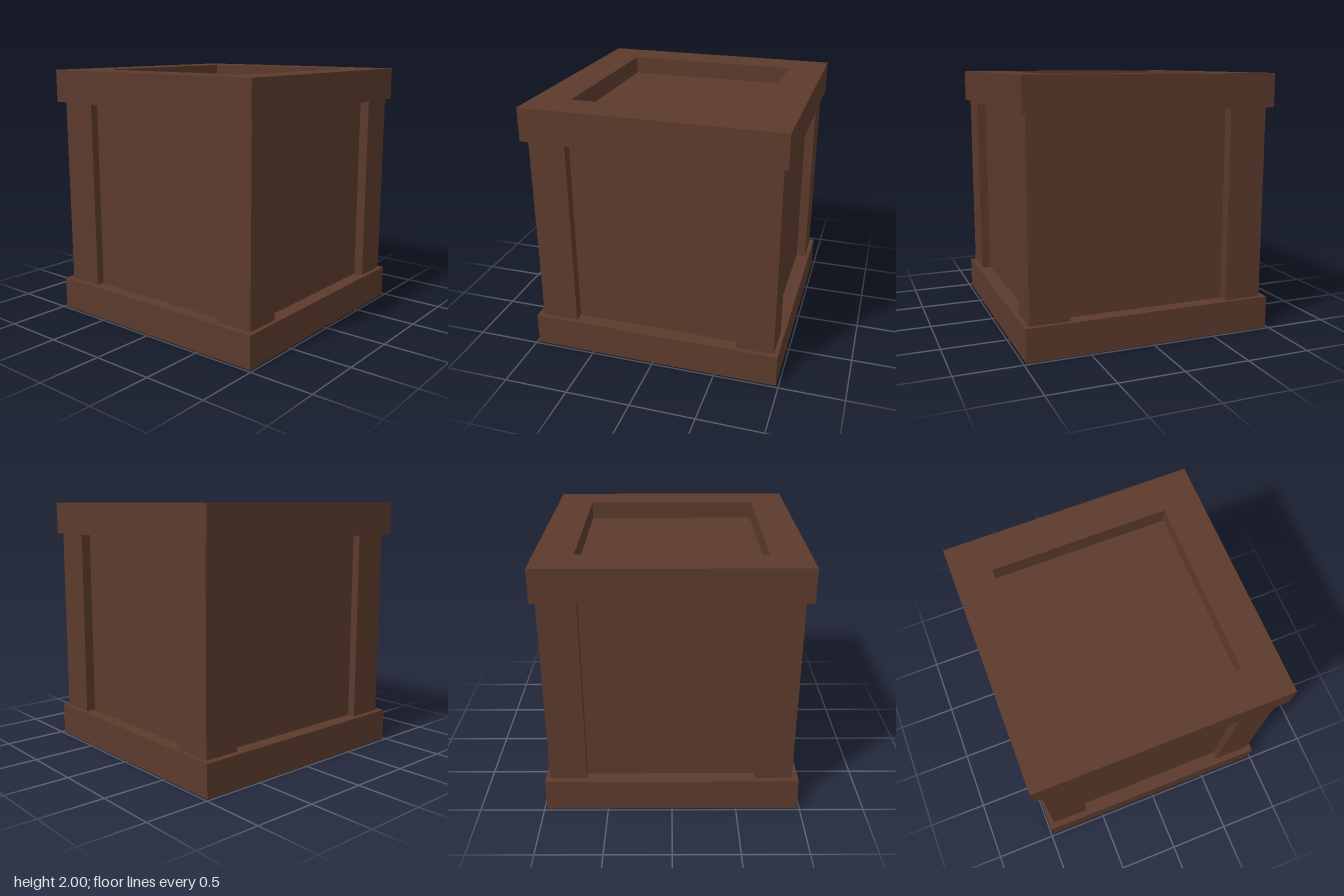
import * as THREE from 'three';

export function createModel() {
  const group = new THREE.Group();
  group.name = 'crate';
  const wood = new THREE.MeshStandardMaterial({ color: 0x5c3a2c });
  wood.name = 'dark brown wood';

  const add = (name, geometry, x, y, z) => {
    const mesh = new THREE.Mesh(geometry, wood);
    mesh.name = name;
    mesh.position.set(x, y, z);
    group.add(mesh);
    return mesh;
  };

  // Inner box: its faces are the recessed panels
  add('panels', new THREE.BoxGeometry(1.74, 1.73, 1.74), 0, 0.995, 0);

  // Corner posts, sitting slightly off centre
  const postHeight = 1.51;
  for (const [sideX, x] of [['right', -0.78], ['left', 0.795]]) {
    for (const [sideZ, z] of [['front', 0.788], ['back', -0.803]]) {
      add(`${sideZ} ${sideX} post`, new THREE.BoxGeometry(0.301, postHeight, 0.286), x, 1, z);
    }
  }

  // Square frames with a square opening, around top and bottom
  const square = (path, h) => path.moveTo(-h, -h).lineTo(h, -h).lineTo(h, h).lineTo(-h, h).closePath();
  const outline = square(new THREE.Shape(), 0.98);
  outline.holes.push(square(new THREE.Path(), 0.69));
  const frame = new THREE.ExtrudeGeometry(outline, { depth: 0.255, bevelEnabled: false });
  frame.rotateX(-Math.PI / 2);
  add('bottomFrame', frame, 0, 0, 0);
  add('topFrame', frame, 0, 1.745, 0);

  return group;
}
